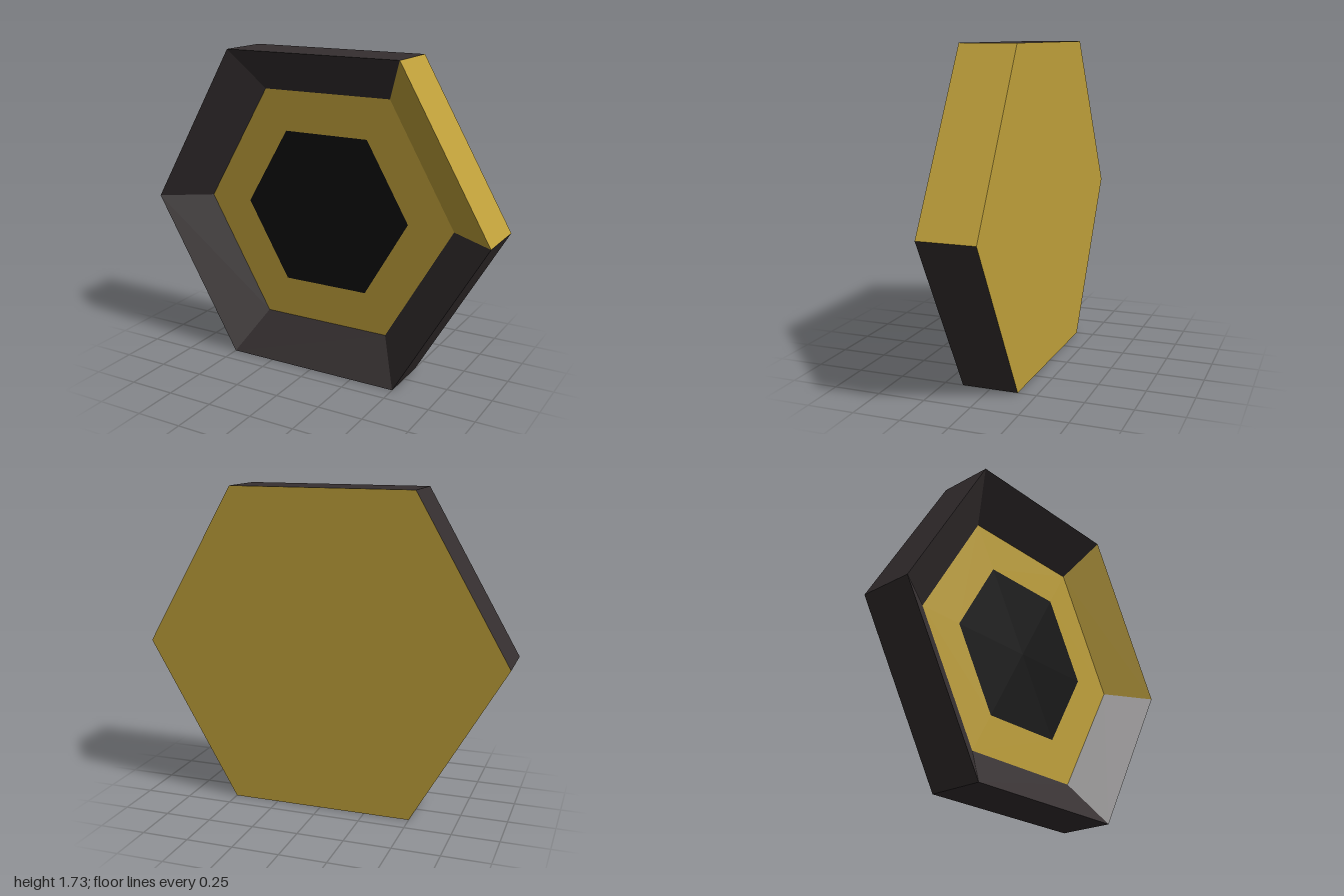
import * as THREE from 'three';

const SIDES = 6;
const FRONT = 0.15, BACK = -0.15, FLOOR = -0.02;
const OUTER = 1, INNER = 0.745, CORE = 0.49;
const CENTRE_Y = Math.sqrt(3) / 2;

const gold = new THREE.MeshStandardMaterial({ color: 0xbfa03a, flatShading: true });
const dark = new THREE.MeshStandardMaterial({ color: 0x352f30, flatShading: true });
const black = new THREE.MeshStandardMaterial({ color: 0x0f0f0f, flatShading: true });

// One side of the frame: outer wall, then the slope from the sharp rim down to the floor
function rimSegmentGeometry(index) {
  const profile = [[OUTER, BACK], [OUTER, FRONT], [INNER, FLOOR]];
  const corner = (k, [r, z]) => {
    const a = ((index + k) * Math.PI * 2) / SIDES;
    return [r * Math.cos(a), r * Math.sin(a), z];
  };
  const positions = [];
  for (let i = 0; i < profile.length - 1; i++) {
    const a = corner(0, profile[i]), b = corner(1, profile[i]);
    const c = corner(1, profile[i + 1]), d = corner(0, profile[i + 1]);
    positions.push(...a, ...b, ...c, ...a, ...c, ...d);
  }
  const geometry = new THREE.BufferGeometry();
  geometry.setAttribute('position', new THREE.Float32BufferAttribute(positions, 3));
  geometry.computeVertexNormals();
  return geometry;
}

export function createModel() {
  const model = new THREE.Group();
  model.name = 'hexagonalBadge';
  const add = (name, geometry, material, z = 0) => {
    const mesh = new THREE.Mesh(geometry, material);
    mesh.name = name;
    mesh.position.set(0, CENTRE_Y, z);
    model.add(mesh);
    return mesh;
  };

  // Six frame sides, the upper +x one in gold
  for (let i = 0; i < SIDES; i++) {
    add(`rimSegment${i + 1}`, rimSegmentGeometry(i), i === 0 ? gold : dark);
  }

  // Recessed floor: gold band around a black centre
  add('floorBand', new THREE.RingGeometry(CORE, INNER, SIDES, 1), gold, FLOOR);
  add('floorCentre', new THREE.CircleGeometry(CORE, SIDES), black, FLOOR);

  // Flat back plate
  add('backPlate', new THREE.CircleGeometry(OUTER, SIDES), gold, BACK).rotation.y = Math.PI;

  return model;
}
